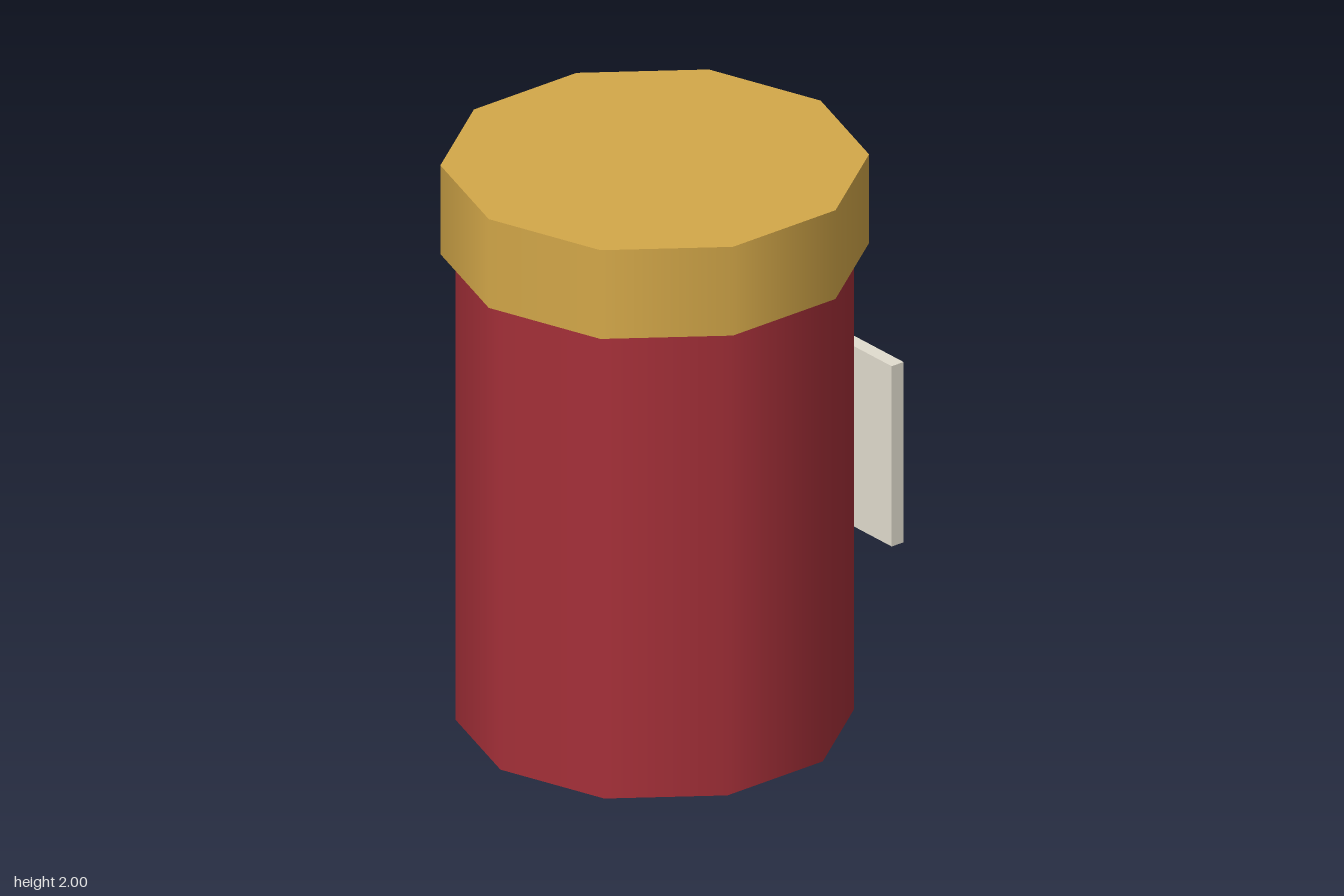
import * as THREE from 'three';

export function createModel() {
  const red = new THREE.MeshStandardMaterial({ name: 'red', color: 0xa63039 });
  const gold = new THREE.MeshStandardMaterial({ name: 'gold', color: 0xd4a849 });
  const ivory = new THREE.MeshStandardMaterial({ name: 'ivory', color: 0xe2ddcf });

  const model = new THREE.Group();
  model.name = 'jar';
  const add = (name, geometry, material, y, z = 0) => {
    const mesh = new THREE.Mesh(geometry, material);
    mesh.name = name;
    mesh.position.set(0, y, z);
    model.add(mesh);
  };

  // Ten-sided body and its wider lid, with smooth side normals
  const bodyHeight = 1.68, lidHeight = 0.32;
  add('body', new THREE.CylinderGeometry(0.648, 0.648, bodyHeight, 10), red, bodyHeight / 2);
  add('lid', new THREE.CylinderGeometry(0.697, 0.697, lidHeight, 10), gold, bodyHeight + lidHeight / 2);

  // Flat label plate across the back
  add('label', new THREE.BoxGeometry(0.91, 0.65, 0.05), ivory, 0.91, -0.647);

  return model;
}
